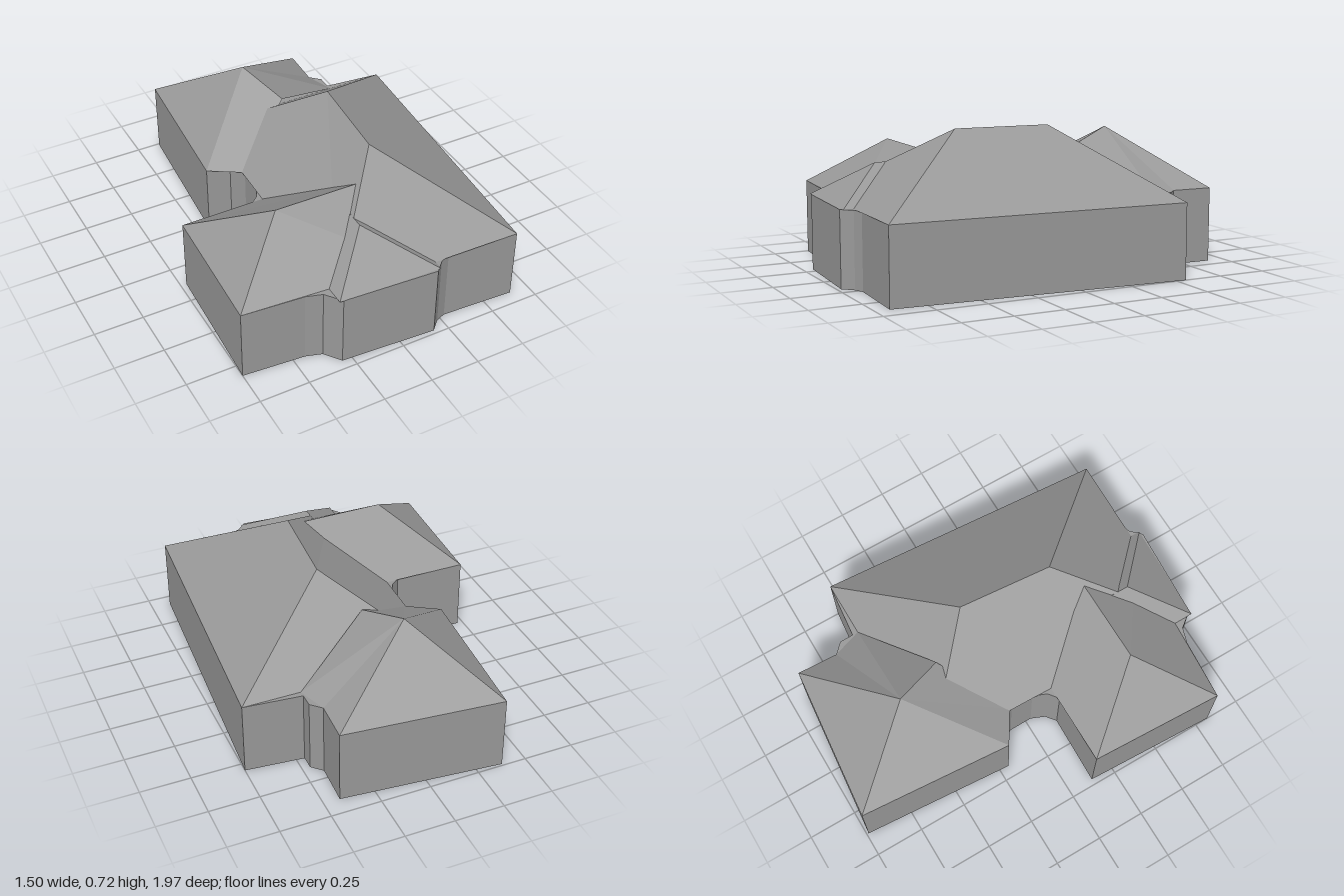
import * as THREE from 'three';

const BASE = 0.01, EAVE = 0.385;

// Flat-shaded roof surface: points [x, y, z], convex faces as index loops, all turned to face upward
function roofGeometry(points, faces) {
  const pos = [];
  const v = points.map((p) => new THREE.Vector3(...p));
  for (const f of faces) {
    for (let i = 1; i < f.length - 1; i++) {
      let [a, b, c] = [v[f[0]], v[f[i]], v[f[i + 1]]];
      const up = (b.z - a.z) * (c.x - a.x) - (b.x - a.x) * (c.z - a.z);
      if (up < 0) [b, c] = [c, b];
      for (const p of [a, b, c]) pos.push(p.x, p.y, p.z);
    }
  }
  const g = new THREE.BufferGeometry();
  g.setAttribute('position', new THREE.Float32BufferAttribute(pos, 3));
  g.computeVertexNormals();
  return g;
}

// Hip roof: four eave corners [x, z] in order, with a ridge from the side 0-1 to the side 2-3
function hipRoof(corners, ridgeA, ridgeB) {
  const pts = corners.map(([x, z]) => [x, EAVE, z]);
  return roofGeometry([...pts, ridgeA, ridgeB], [[0, 1, 4], [1, 2, 5, 4], [2, 3, 5], [3, 0, 4, 5]]);
}

export function createModel() {
  const group = new THREE.Group();
  const grey = new THREE.MeshStandardMaterial({ color: 0x999999 });
  grey.name = 'plain grey';
  const add = (name, geometry) => {
    const mesh = new THREE.Mesh(geometry, grey);
    mesh.name = name;
    group.add(mesh);
  };

  // Walls: the whole footprint, with the court on the -x side and softened inner corners
  const footprint = [
    [-0.38, -0.99], [0.42, -0.91], [0.41, -0.70], [0.46, -0.65], [0.46, -0.58], [0.75, -0.55],
    [0.65, 0.93], [0.28, 0.91], [0.23, 0.93], [0.18, 0.98], [-0.30, 0.95], [-0.36, 0.87],
    [-0.44, 0.845], [-0.75, 0.82], [-0.72, 0.13], [-0.36, 0.14], [-0.31, 0.10], [-0.28, 0.03],
    [-0.28, -0.09], [-0.32, -0.18], [-0.44, -0.20],
  ];
  const shape = new THREE.Shape(footprint.map(([x, z]) => new THREE.Vector2(x, -z)));
  const walls = new THREE.ExtrudeGeometry(shape, { depth: EAVE - BASE, bevelEnabled: false });
  walls.rotateX(-Math.PI / 2).translate(0, BASE, 0);
  add('walls', walls);

  // Main hip roof with its ridge running front to back
  add('mainRoof', hipRoof(
    [[-0.28, -0.55], [0.75, -0.55], [0.65, 0.93], [-0.31, 0.91]],
    [0.19, 0.725, -0.10], [0.15, 0.725, 0.38]));

  // Side wing roof, its ridge running into the main roof
  add('sideWingRoof', hipRoof(
    [[-0.75, 0.82], [-0.72, 0.13], [0.10, 0.13], [0.10, 0.88]],
    [-0.41, 0.625, 0.50], [0.08, 0.62, 0.50]));

  // Small hip over the front bay
  add('frontBayRoof', hipRoof(
    [[0.20, 0.97], [-0.32, 0.95], [-0.32, 0.50], [0.22, 0.50]],
    [-0.08, 0.555, 0.70], [-0.08, 0.555, 0.52]));

  // Back wing: a pyramid whose fourth side joins the main roof over a saddle
  add('backWingRoof', roofGeometry([
    [-0.05, 0.67, -0.57], [-0.38, EAVE, -0.99], [0.42, EAVE, -0.91], [0.41, EAVE, -0.70],
    [0.46, EAVE, -0.55], [0.05, 0.59, -0.32], [-0.28, EAVE, -0.10], [-0.44, EAVE, -0.20],
  ], [[0, 1, 2], [0, 2, 3, 4, 5], [0, 5, 6, 7], [0, 7, 1]]));

  return group;
}
